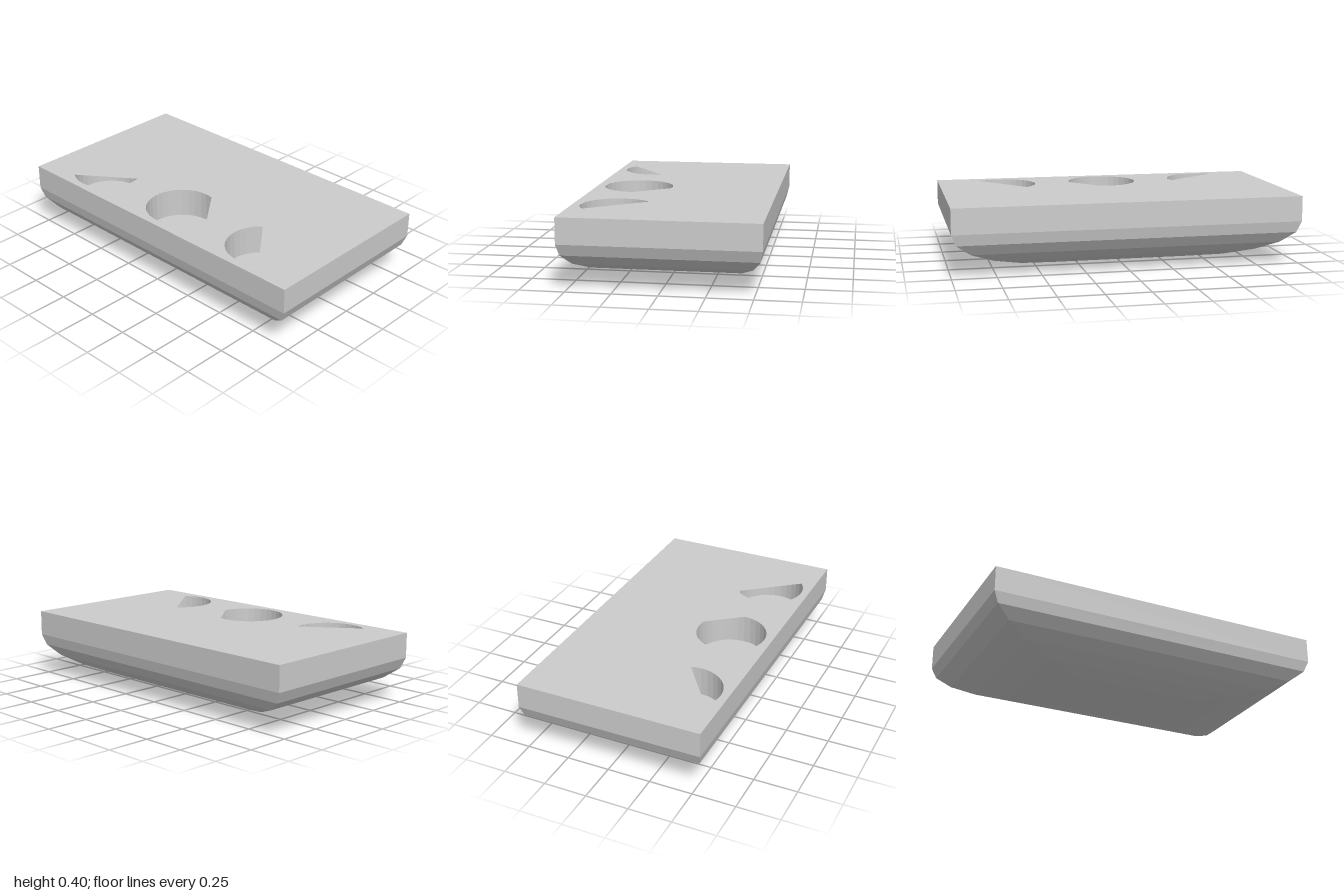
import * as THREE from 'three';

const HALF_X = 0.545, HALF_Z = 1, TOP = 0.4;
const POCKET_R = 0.205, POCKET_X = -0.295, FLOOR = 0.23;

// Each pocket: z position, and the arc (degrees, from +x towards +z) left open by its lid
const POCKETS = [
  { name: 'backPocket', z: -0.635, from: 73, to: 215 },
  { name: 'middlePocket', z: 0, from: 90, to: 374 },
  { name: 'frontPocket', z: 0.625, from: 144, to: 319 },
];

function addMesh(parent, name, geometry, options = {}) {
  const material = new THREE.MeshStandardMaterial({ color: 0xcccccc, ...options });
  const mesh = new THREE.Mesh(geometry, material);
  mesh.name = name;
  parent.add(mesh);
  return mesh;
}

// Rectangular shell whose sides curve in to a shallow belly
function hullGeometry() {
  const profile = [
    [0, 0], [0.2, 0.002], [0.4, 0.011], [0.595, 0.037], [0.76, 0.077],
    [0.89, 0.128], [0.973, 0.19], [1, 0.254], [1, TOP],
  ].map(([s, y]) => new THREE.Vector2(s * Math.SQRT2, y));
  const lathe = new THREE.LatheGeometry(profile, 4, Math.PI / 4);
  lathe.scale(HALF_X, 1, HALF_Z);
  const geometry = lathe.toNonIndexed();
  geometry.computeVertexNormals();
  return geometry;
}

// Flat deck with an opening over each pocket, trimmed by a straight lid edge
function deckGeometry() {
  const deck = new THREE.Shape([
    new THREE.Vector2(-HALF_X, -HALF_Z), new THREE.Vector2(HALF_X, -HALF_Z),
    new THREE.Vector2(HALF_X, HALF_Z), new THREE.Vector2(-HALF_X, HALF_Z),
  ]);
  for (const { z, from, to } of POCKETS) {
    const points = [];
    const steps = 32;
    for (let i = 0; i <= steps; i++) {
      const a = THREE.MathUtils.degToRad(from + (to - from) * i / steps);
      points.push(new THREE.Vector2(
        POCKET_X + POCKET_R * Math.cos(a), -(z + POCKET_R * Math.sin(a))));
    }
    deck.holes.push(new THREE.Path(points));
  }
  return new THREE.ShapeGeometry(deck).rotateX(-Math.PI / 2).translate(0, TOP, 0);
}

export function createModel() {
  const model = new THREE.Group();
  model.name = 'tray';
  addMesh(model, 'hull', hullGeometry(), { flatShading: true });
  addMesh(model, 'deck', deckGeometry(), { side: THREE.DoubleSide });

  // Round wells under the deck openings
  const depth = TOP - FLOOR;
  for (const { name, z } of POCKETS) {
    const pocket = new THREE.Group();
    pocket.name = name;
    pocket.position.set(POCKET_X, FLOOR, z);
    const wall = new THREE.CylinderGeometry(POCKET_R, POCKET_R, depth, 32, 1, true);
    addMesh(pocket, 'pocketWall', wall.translate(0, depth / 2, 0),
      { side: THREE.DoubleSide, flatShading: true });
    addMesh(pocket, 'pocketFloor', new THREE.CircleGeometry(POCKET_R, 32).rotateX(-Math.PI / 2));
    model.add(pocket);
  }
  return model;
}
